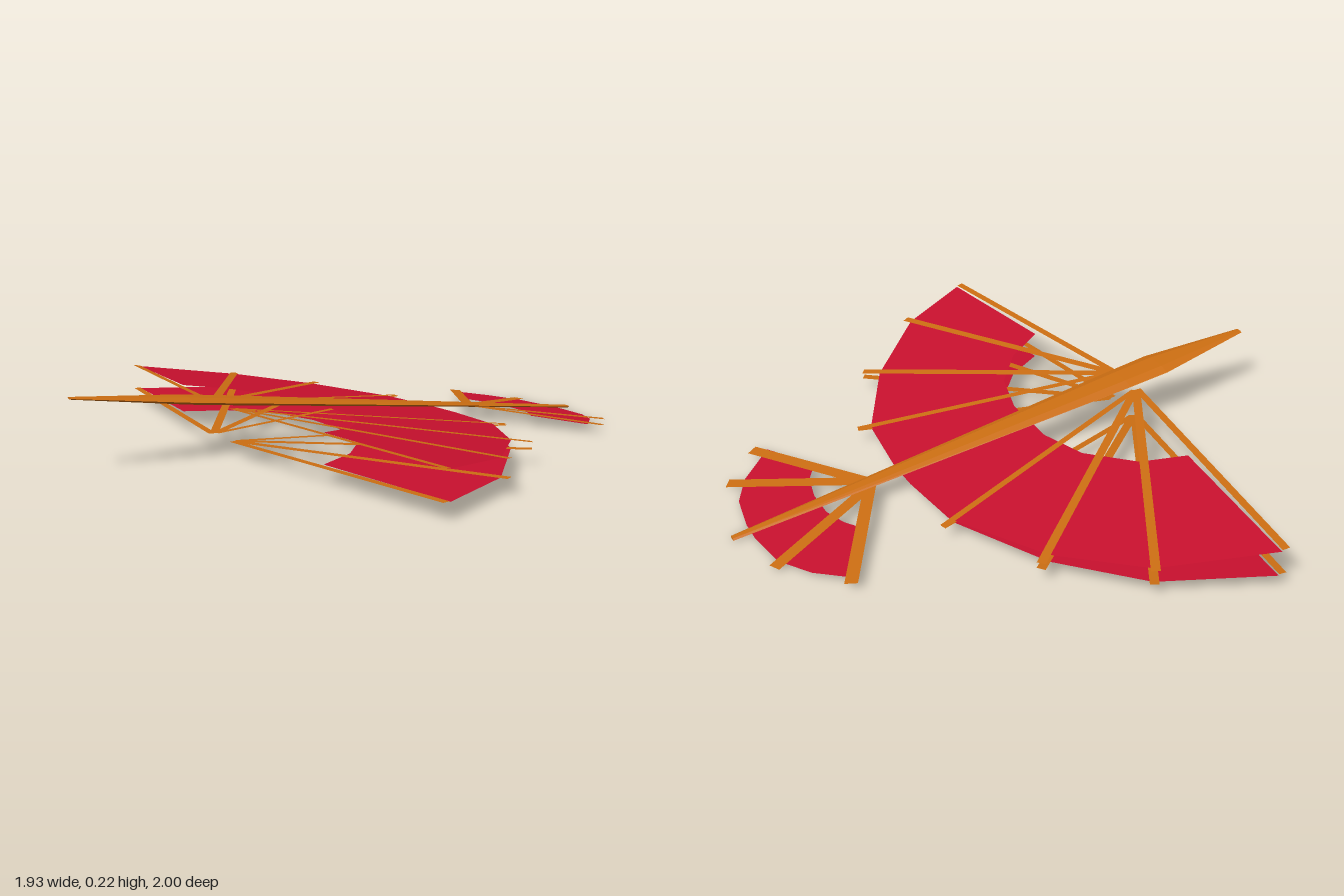
import * as THREE from 'three';

const wood = new THREE.MeshStandardMaterial({ color: 0xcc6e12, side: THREE.DoubleSide, flatShading: true });
const cloth = new THREE.MeshStandardMaterial({ color: 0xc8102e, side: THREE.DoubleSide, flatShading: true });

// Thin sheet: an outline of [x, z] points lifted to the height rule y = level + slope * x
function sheet(name, points, plane, material) {
  const shape = new THREE.Shape(points.map(([x, z]) => new THREE.Vector2(x, -z)));
  const geo = new THREE.ShapeGeometry(shape);
  const pos = geo.attributes.position;
  for (let i = 0; i < pos.count; i++) {
    const x = pos.getX(i), z = -pos.getY(i);
    pos.setXYZ(i, x, plane.level + plane.slope * x, z);
  }
  geo.computeVertexNormals();
  const mesh = new THREE.Mesh(geo, material);
  mesh.name = name;
  return mesh;
}

// Flat rib: a straight strip from a to b
function rib(name, a, b, width, plane) {
  const dx = b[0] - a[0], dz = b[1] - a[1];
  const k = width / 2 / Math.hypot(dx, dz);
  const nx = -dz * k, nz = dx * k;
  const outline = [
    [a[0] + nx, a[1] + nz], [b[0] + nx, b[1] + nz],
    [b[0] - nx, b[1] - nz], [a[0] - nx, a[1] - nz],
  ];
  return sheet(name, outline, { level: plane.level + 0.003, slope: plane.slope }, wood);
}

// Tapered spine lofted from shallow six-sided sections
function spine() {
  const stations = [ // x, centre height, half width, half thickness
    [-0.965, 0.222, 0.015, 0.003],
    [-0.6, 0.183, 0.068, 0.011],
    [-0.45, 0.166, 0.065, 0.011],
    [0.965, 0.005, 0.014, 0.004],
  ];
  const section = [[1, 0], [0.5, 1], [-0.5, 1], [-1, 0], [-0.5, -1], [0.5, -1]];
  const n = section.length, verts = [], index = [];
  for (const [x, y, w, t] of stations)
    for (const [sz, sy] of section) verts.push(x, y + sy * t, sz * w);
  for (let s = 0; s < stations.length - 1; s++)
    for (let i = 0; i < n; i++) {
      const a = s * n + i, b = s * n + (i + 1) % n;
      index.push(a, a + n, b, b, a + n, b + n);
    }
  const last = (stations.length - 1) * n;
  for (let i = 1; i < n - 1; i++) {
    index.push(0, i, i + 1);
    index.push(last, last + i + 1, last + i);
  }
  const geo = new THREE.BufferGeometry();
  geo.setAttribute('position', new THREE.Float32BufferAttribute(verts, 3));
  geo.setIndex(index);
  geo.computeVertexNormals();
  const mesh = new THREE.Mesh(geo, wood);
  mesh.name = 'spine';
  return mesh;
}

// Wing fan: one cloth band under the spine with four ribs on each side
function wing(name, plane) {
  const group = new THREE.Group();
  group.name = name;
  const outer = [
    [-0.33, -1], [0, -0.845], [0.21, -0.62], [0.365, -0.31], [0.39, -0.06],
    [0.39, 0.06], [0.36, 0.31], [0.195, 0.6], [-0.06, 0.865], [-0.33, 0.995],
  ];
  const inner = [
    [-0.39, 0.475], [-0.25, 0.395], [-0.14, 0.27], [-0.09, 0.11],
    [-0.085, -0.1], [-0.13, -0.26], [-0.25, -0.41], [-0.39, -0.475],
  ];
  group.add(sheet('wingCloth', [...outer, ...inner], plane, cloth));
  const ends = {
    right: [[-0.345, -1], [0.005, -0.86], [0.25, -0.64], [0.405, -0.32]],
    left: [[-0.345, 1], [-0.05, 0.89], [0.24, 0.645], [0.405, 0.32]],
  };
  const widths = [0.024, 0.028, 0.028, 0.022];
  for (const [side, tips] of Object.entries(ends)) {
    const s = side === 'left' ? 1 : -1;
    tips.forEach((tip, i) =>
      group.add(rib(side + 'WingRib', [-0.475 + 0.005 * i, 0.07 * s], tip, widths[i], plane)));
  }
  return group;
}

// Tail fan: a small cloth band with two broad ribs on each side
function tail(plane) {
  const group = new THREE.Group();
  group.name = 'tail';
  const outline = [
    [0.74, -0.37], [0.82, -0.29], [0.885, -0.18], [0.905, -0.04], [0.905, 0.04],
    [0.885, 0.17], [0.83, 0.27], [0.71, 0.385],
    [0.61, 0.21], [0.655, 0.14], [0.675, 0.05], [0.675, -0.05], [0.65, -0.13], [0.615, -0.19],
  ];
  group.add(sheet('tailCloth', outline, plane, cloth));
  for (const tip of [[0.745, -0.405], [0.905, -0.205], [0.885, 0.28], [0.755, 0.41]])
    group.add(rib('tailRib', [0.51, 0.015 * Math.sign(tip[1])], tip, 0.04, plane));
  return group;
}

export function createModel() {
  const model = new THREE.Group();
  model.name = 'glider';
  model.add(
    spine(),
    wing('upperWing', { level: 0.096, slope: -0.114 }),
    wing('lowerWing', { level: 0.047, slope: 0 }),
    tail({ level: 0.107, slope: -0.11 }),
  );
  return model;
}
